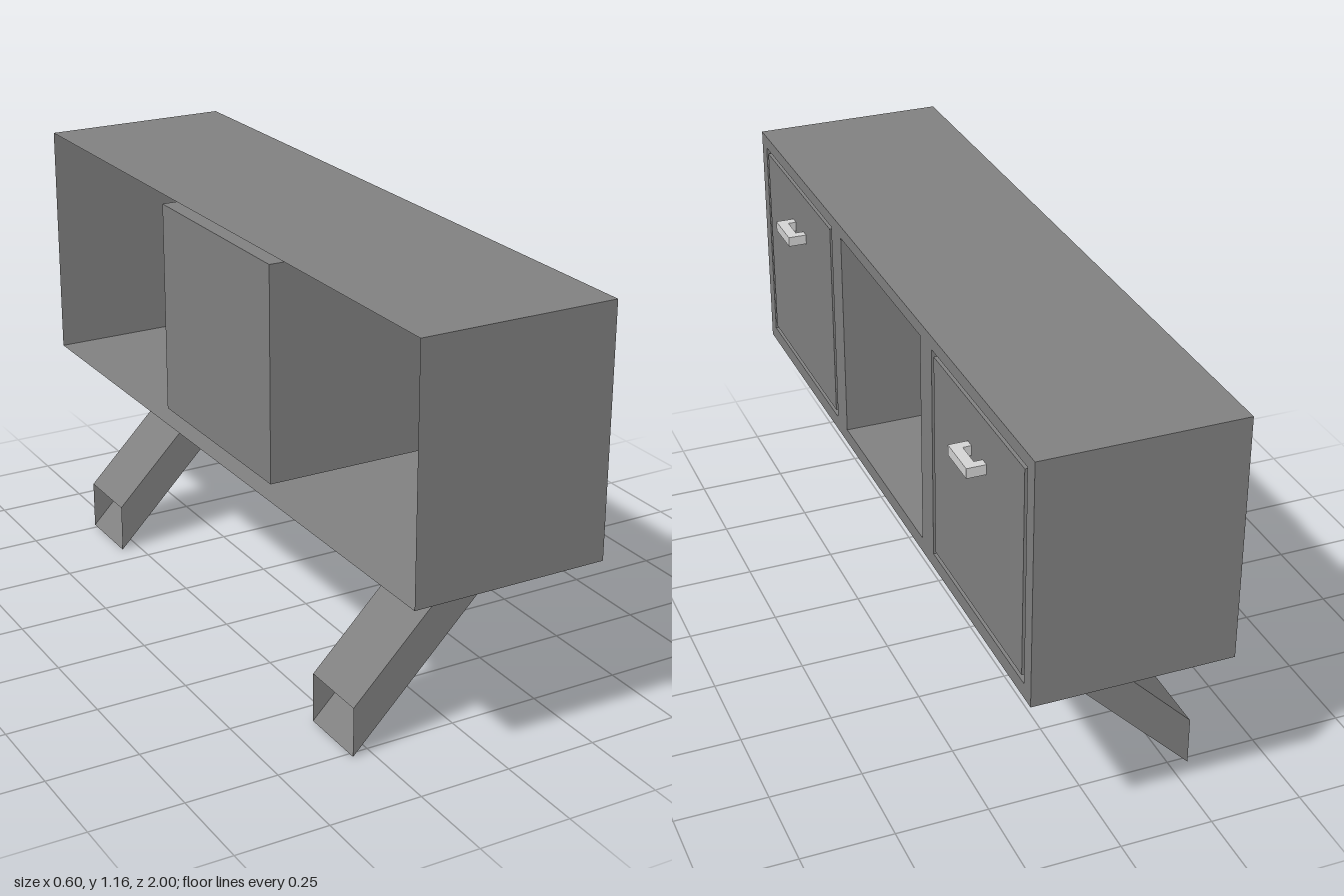
import * as THREE from 'three';

const FACES = ['+x', '-x', '+y', '-y', '+z', '-z'];

// Box between two corners, leaving out the named faces
function openBox([x0, y0, z0], [x1, y1, z1], omit = []) {
  const g = new THREE.BoxGeometry(x1 - x0, y1 - y0, z1 - z0);
  g.translate((x0 + x1) / 2, (y0 + y1) / 2, (z0 + z1) / 2);
  const all = Array.from(g.index.array);
  g.setIndex(FACES.flatMap((f, i) => (omit.includes(f) ? [] : all.slice(i * 6, i * 6 + 6))));
  g.clearGroups();
  return g;
}

function rect(path, a0, b0, a1, b1) {
  return path.moveTo(a0, b0).lineTo(a1, b0).lineTo(a1, b1).lineTo(a0, b1).closePath();
}

export function createModel() {
  const group = new THREE.Group();
  const body = new THREE.MeshStandardMaterial({ color: 0x808080, side: THREE.DoubleSide });
  body.name = 'cabinet grey';
  const metal = new THREE.MeshStandardMaterial({ color: 0xd3d3d3, side: THREE.DoubleSide });
  metal.name = 'handle light grey';

  const add = (name, geometry, material, parent = group) => {
    const mesh = new THREE.Mesh(geometry, material);
    mesh.name = name;
    parent.add(mesh);
    return mesh;
  };

  const back = -0.28, front = 0.25, low = 0.54, high = 1.125;

  // Thin-walled case, open at the back, with a separate front frame
  add('case', openBox([back, 0.5, -1], [front, 1.16, 1], ['+x', '-x']), body);
  const frame = rect(new THREE.Shape(), -1, 0.5, 1, 1.16);
  for (const [a, b] of [[-0.96, -0.375], [-0.297, 0.297], [0.375, 0.96]]) {
    frame.holes.push(rect(new THREE.Path(), a, low, b, high));
  }
  add('frontFrame', new THREE.ShapeGeometry(frame).rotateY(Math.PI / 2).translate(front, 0, 0), body);

  // Open middle compartment
  add('middleCompartment', openBox([back + 0.01, low, -0.297], [front, high, 0.297], ['+x']), body);

  for (const s of [1, -1]) {
    const side = s > 0 ? 'left' : 'right';
    const zc = s * 0.6675;

    // Door set in a shallow recess, leaving a groove around it
    const door = new THREE.Group();
    door.name = side + 'Door';
    group.add(door);
    add('doorRecess', openBox([0.23, low, zc - 0.2925], [front, high, zc + 0.2925], ['+x']), body, door);
    add('doorPanel', openBox([0.23, 0.555, zc - 0.278], [front, 1.112, zc + 0.278], ['-x']), body, door);

    // U-shaped pull handle
    const handle = new THREE.Group();
    handle.name = side + 'Handle';
    door.add(handle);
    add('grip', openBox([0.272, 0.973, zc - 0.058], [0.3, 1.0, zc + 0.058]), metal, handle);
    for (const t of [1, -1]) {
      const z = zc + t * 0.046;
      add('handlePost', openBox([front, 0.973, z - 0.012], [0.272, 1.0, z + 0.012]), metal, handle);
    }

    // Slanted hollow leg, cut level at the case and upright at the foot
    const leg = openBox([0, 0, s * 0.668 - 0.099], [1, 1, s * 0.668 + 0.099], ['+y', '-y']);
    const p = leg.attributes.position;
    for (let i = 0; i < p.count; i++) {
      const outer = p.getX(i) > 0.5;
      if (p.getY(i) > 0.5) p.setXY(i, outer ? 0.192 : 0.06, 0.5);
      else p.setXY(i, -0.3, outer ? 0 : 0.135);
    }
    leg.computeVertexNormals();
    add(side + 'Leg', leg, body);
  }
  return group;
}
